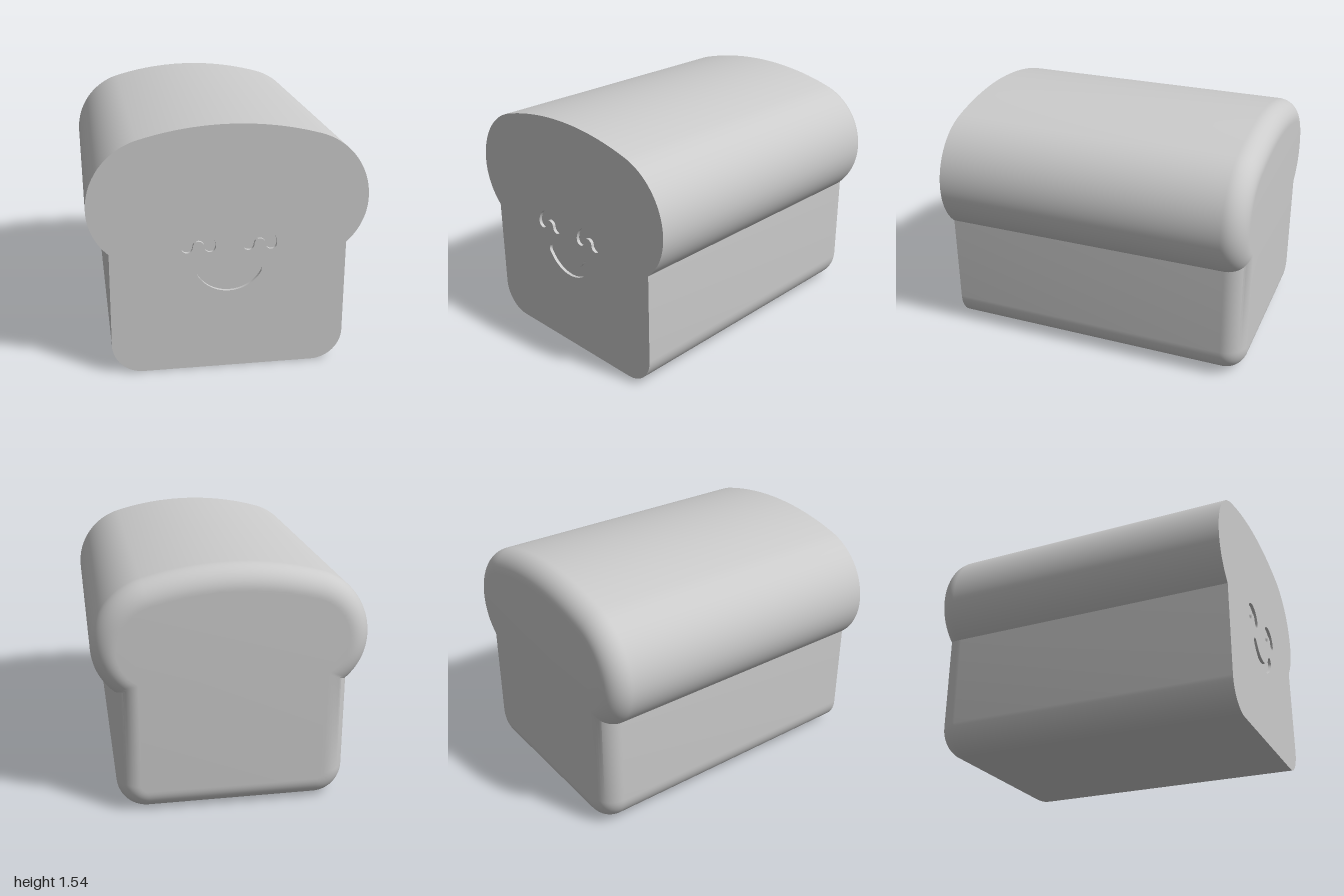
import * as THREE from 'three';
import { mergeGeometries, toCreasedNormals } from 'three/addons/utils/BufferGeometryUtils.js';

const FRONT = 1, BACK = -1, ROUND = 0.14, DEPTH = 0.02;
const material = new THREE.MeshStandardMaterial({ color: 0xcccccc });

// Points along a circular arc, both ends included
function arc(cx, cy, r, a0, a1, n) {
  return Array.from({ length: n + 1 }, (_, i) => {
    const a = a0 + (a1 - a0) * i / n;
    return new THREE.Vector2(cx + r * Math.cos(a), cy + r * Math.sin(a));
  });
}

// Counter-clockwise slice outline, moved inward by d
function sliceOutline(d) {
  const crease = Math.acos((0.251 - d) / (0.376 - d));
  const shoulder = Math.atan2(1.44, 0.42);
  const half = [
    ...arc(0.525, 0.19, 0.19 - d, -Math.PI / 2, 0, 14),          // bottom corner
    ...arc(0.464, 1.06, 0.376 - d, -crease, 0, 14),              // under the crust bulge
    ...arc(0.42, 1.06, 0.42 - d, 0, shoulder, 22).slice(1),      // shoulder
    ...arc(0, -0.38, 1.92 - d, shoulder, Math.PI / 2, 10).slice(1), // domed top
  ];
  const mirrored = half.slice(0, -1).reverse().map(p => new THREE.Vector2(-p.x, p.y));
  return [...half, ...mirrored];
}

// Curved groove outline with round ends, counter-clockwise
function grooveOutline(cx, cy, r, w, a0, a1) {
  const tip = a => [cx + r * Math.cos(a), cy + r * Math.sin(a)];
  return [
    ...arc(cx, cy, r + w, a0, a1, 28),
    ...arc(...tip(a1), w, a1, a1 + Math.PI, 12).slice(1),
    ...arc(cx, cy, r - w, a1, a0, 28).slice(1),
    ...arc(...tip(a0), w, a0 + Math.PI, a0 + 2 * Math.PI, 12).slice(1, -1),
  ];
}

// Closed skin through rings ordered from front to back
function loft(rings) {
  const n = rings[0].pts.length, pos = [], index = [];
  for (const { pts, z } of rings) for (const p of pts) pos.push(p.x, p.y, z);
  for (let j = 0; j < rings.length - 1; j++) {
    for (let i = 0; i < n; i++) {
      const k = (i + 1) % n, a = j * n, b = a + n;
      index.push(b + i, b + k, a + k, b + i, a + k, a + i);
    }
  }
  const g = new THREE.BufferGeometry();
  g.setAttribute('position', new THREE.Float32BufferAttribute(pos, 3));
  g.setIndex(index);
  g.computeVertexNormals();
  return g;
}

// Flat face from an outline, optionally with holes
function flat(pts, z, holes = []) {
  const shape = new THREE.Shape(pts);
  shape.holes = holes.map(h => new THREE.Path(h));
  const g = new THREE.ShapeGeometry(shape);
  g.deleteAttribute('uv');
  return g.translate(0, 0, z);
}

function part(name, geometries) {
  const g = toCreasedNormals(mergeGeometries(geometries), 0.5);
  const mesh = new THREE.Mesh(g, material);
  mesh.name = name;
  return mesh;
}

export function createModel() {
  const model = new THREE.Group();
  model.name = 'breadLoaf';

  const grooves = {
    rightEye: grooveOutline(-0.185, 0.796, 0.069, 0.034, 0, Math.PI),
    leftEye: grooveOutline(0.185, 0.796, 0.069, 0.034, 0, Math.PI),
    smile: grooveOutline(0, 0.73, 0.191, 0.033, -Math.PI / 2 - 1.04, -Math.PI / 2 + 1.04),
  };

  // Loaf: straight body with a rounded back edge
  const rings = [{ pts: sliceOutline(0), z: FRONT }];
  const steps = 14;
  for (let i = 0; i <= steps; i++) {
    const t = (i / steps) * Math.PI / 2;
    rings.push({
      pts: sliceOutline(ROUND * (1 - Math.cos(t))),
      z: BACK + ROUND * (1 - Math.sin(t)),
    });
  }
  const backFace = flat(sliceOutline(ROUND), 0).rotateY(Math.PI).translate(0, 0, BACK);
  const frontFace = flat(sliceOutline(0), FRONT, Object.values(grooves));
  model.add(part('loaf', [loft(rings), frontFace, backFace]));

  // Face: shallow grooves sunk into the cut front
  for (const [name, pts] of Object.entries(grooves)) {
    const inward = [...pts].reverse();
    const walls = loft([{ pts: inward, z: FRONT }, { pts: inward, z: FRONT - DEPTH }]);
    model.add(part(name, [walls, flat(pts, FRONT - DEPTH)]));
  }
  return model;
}
